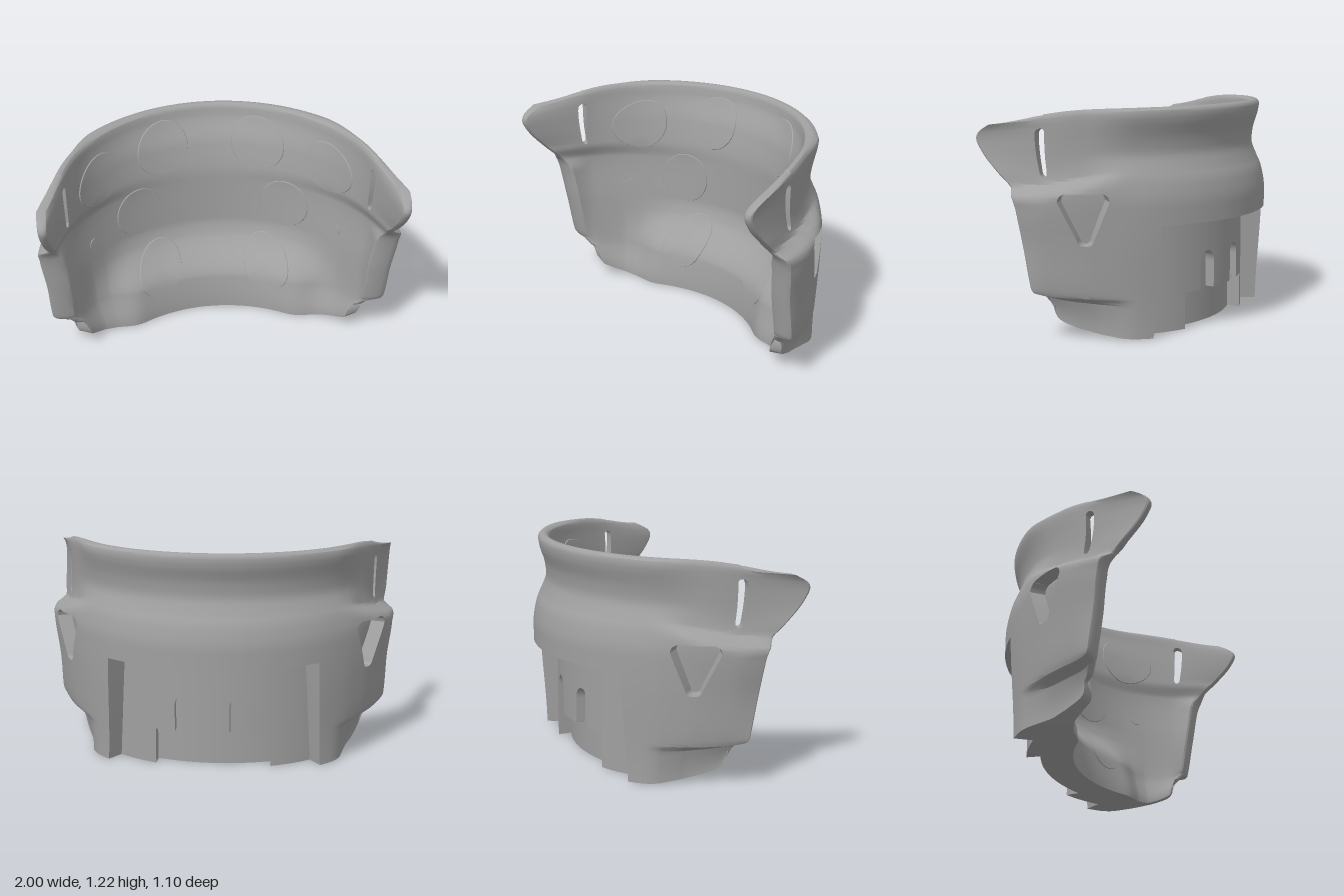
import * as THREE from 'three';
import { toCreasedNormals } from 'three/addons/utils/BufferGeometryUtils.js';

const clamp = THREE.MathUtils.clamp;
const smooth = THREE.MathUtils.smoothstep;
const mix = THREE.MathUtils.lerp;

// Smooth curve through [position, value] keys, without overshoot
function keyed(keys) {
  const d = keys.slice(1).map((k, i) => (k[1] - keys[i][1]) / (k[0] - keys[i][0]));
  const m = keys.map((k, i) => {
    if (i === 0 || i === keys.length - 1) return 0;
    const a = d[i - 1], b = d[i];
    return a * b <= 0 ? 0 : (2 * a * b) / (a + b);
  });
  return (y) => {
    if (y <= keys[0][0]) return keys[0][1];
    for (let i = 0; i < d.length; i++) {
      const [x0, v0] = keys[i], [x1, v1] = keys[i + 1];
      if (y > x1) continue;
      const h = x1 - x0, t = (y - x0) / h, t2 = t * t, t3 = t2 * t;
      return v0 * (2 * t3 - 3 * t2 + 1) + h * m[i] * (t3 - 2 * t2 + t) + v1 * (3 * t2 - 2 * t3) + h * m[i + 1] * (t3 - t2);
    }
    return keys[keys.length - 1][1];
  };
}

// Height profiles: depth at the middle, half width, and where the free ends stop
const outerZ = keyed([[0, -0.53], [0.6, -0.55], [0.7, -0.55], [0.82, -0.53], [0.9, -0.495], [0.98, -0.47], [1.05, -0.477], [1.15, -0.508], [1.2, -0.515]]);
const innerZ = keyed([[0, -0.35], [0.8, -0.35], [1, -0.385], [1.19, -0.455]]);
const backW = keyed([[0, 0.95], [0.73, 0.99], [0.85, 0.97], [0.98, 0.92], [1.1, 0.94], [1.2, 0.96]]);
const sideW = keyed([[0, 0.835], [0.18, 0.87], [0.225, 0.95], [0.5, 0.985], [0.72, 1.015], [0.75, 1], [0.81, 0.91], [0.9, 0.9], [1.2, 0.905]]);
const innerW = keyed([[0, 0.77], [0.2, 0.82], [0.5, 0.85], [0.76, 0.88], [0.85, 0.85], [1.2, 0.855]]);
const endZ = keyed([[0, 0.15], [0.1, 0.175], [0.25, 0.205], [0.5, 0.245], [0.73, 0.28], [0.8, 0.33], [0.87, 0.39], [1.02, 0.5], [1.1, 0.53], [1.15, 0.51], [1.19, 0.45]]);
const flare = keyed([[0, 0], [0.7, -0.02], [0.8, 0.03], [0.9, 0.06], [1.2, 0.075]]);
const lip = keyed([[0, 0.2], [0.2, 0.18], [0.42, 0.02], [0.5, 0]]);

// Cut-outs: centre c, half width H across, rows y0 to y1, half width share w(y)
const roundEnd = (d, r) => Math.sqrt(Math.max(0.04, 1 - clamp(1 - d / r, 0, 1) ** 2));
const arch = { c: 0.132, H: 0.048, y0: 0.2, y1: 0.41, w: (y) => roundEnd(0.41 - y, 0.06) };
const triangle = {
  c: 0.755, H: 0.0925, y0: 0.51, y1: 0.78,
  w: (y) => mix(0.25, 1, clamp((y - 0.54) / 0.2, 0, 1)) * roundEnd(y - 0.51, 0.035) * mix(0.65, 1, roundEnd(0.78 - y, 0.04)),
};
const slot = { c: 0.926, H: 0.0075, y0: 0.86, y1: 1.14, w: (y) => roundEnd(Math.min(y - 0.86, 1.14 - y), 0.025) };
const features = [arch, triangle, slot];
const inside = (f, s, y) => Math.abs(s - f.c) < f.H + 1e-6 && y > f.y0 - 1e-6 && y < f.y1 + 1e-6;
const RECESS = 0.475, RECESS_TOP = 0.6, NOTCH = 0.28, NOTCH_TOP = 0.2, TOP = 1.19, ARC = 1.3;

// Narrow the columns near a cut-out to follow its outline
function warp(s, y) {
  for (const f of features) {
    const t = (s - f.c) / f.H, a = Math.abs(t), reach = f === triangle ? 1.2 : 1.6;
    if (a >= reach) continue;
    const w = f.w(clamp(y, f.y0, f.y1));
    const r = a <= 1 ? a * w : mix(w, reach, (a - 1) / (reach - 1));
    return f.c + Math.sign(t) * r * f.H;
  }
  // Slanted sides of the back recess
  return s + mix(0.02, -0.015, clamp(y / RECESS_TOP, 0, 1)) * Math.max(0, 1 - Math.abs(s - RECESS) / 0.1);
}

// Point on the inner or outer face; s runs from -1 to 1 round the arch
function surface(isInner, sRaw, Y, plain = false) {
  const s0 = Math.abs(sRaw), s = plain ? s0 : warp(s0, Y);
  const yw = Y - 0.25 * (1 - s) * clamp((Y - 0.5) / 0.2, 0, 1);
  let zA = isInner ? innerZ(Y) : outerZ(Y);
  let W = isInner ? innerW(Y) : mix(backW(Y), sideW(yw), smooth(s, 0.55, 0.8));
  let push = 0;
  if (!isInner && s0 < RECESS + 1e-6 && Y < RECESS_TOP + 1e-6) {
    zA = -0.41;
    W = 0.86;
    if (s0 < NOTCH + 1e-6 && Y < NOTCH_TOP - 0.001) push = 0.08;
    else if (inside(arch, s0, Y)) push = 0.05;
  }
  const g = Math.max(0, (s - 0.9) / 0.1) ** 1.5;
  const x = (W * Math.sin(ARC * s)) / Math.sin(ARC) + flare(Y) * g;
  let z = zA + ((0.25 - zA) * (1 - Math.cos(ARC * s))) / (1 - Math.cos(ARC)) + (endZ(Y) - 0.25) * g + push;
  if (isInner) z += lip(Y) * (1 - smooth(x, 0.42, 0.75));
  const y = Y + 0.17 * s ** 7 * Math.max(0, 1 - Y / 0.27) - (0.015 * s * s + 0.05 * s ** 10) * Math.max(0, (Y - 0.8) / 0.39);
  const p = new THREE.Vector3(Math.sign(sRaw) * x, y, z);
  if (!isInner && inside(triangle, s0, Y)) p.lerp(surface(true, sRaw, Y), 0.6);
  return p;
}

const sorted = (list) => [...new Set(list.map((v) => +v.toFixed(4)))].sort((a, b) => a - b);

function finish(pos, crease) {
  const g = new THREE.BufferGeometry();
  g.setAttribute('position', new THREE.Float32BufferAttribute(pos, 3));
  g.scale(50, 50, 50);
  const out = toCreasedNormals(g, crease);
  out.scale(0.02, 0.02, 0.02);
  return out;
}

function shellGeometry() {
  const E = 0.002;
  const half = [RECESS, RECESS + E, NOTCH, NOTCH + E, 0.99, 1], ys = [RECESS_TOP, RECESS_TOP + E, NOTCH_TOP - E, NOTCH_TOP, TOP];
  for (let i = 0; i < 50; i++) half.push(i / 50);
  for (let i = 0; i < 59; i++) ys.push(i / 50);
  for (const f of features) {
    half.push(f.c - f.H - E, f.c - f.H, f.c, f.c + f.H, f.c + f.H + E);
    for (const d of [0, 0.004, 0.01, 0.016]) ys.push(f.y0 + d, f.y1 - d);
    ys.push(f.y0 - E, f.y1 + E);
  }
  const cols = sorted([...half, ...half.map((v) => -v)]), rows = sorted(ys);
  const n = rows.length, last = cols.length - 1, pos = [];
  const quad = (a, b, c, d) => [a, b, c, a, c, d].forEach((p) => pos.push(p.x, p.y, p.z));

  // Closed section at every column: outer face, rounded rim, inner face
  const out = cols.map((s) => rows.map((y) => surface(false, s, y)));
  const inn = cols.map((s) => rows.map((y) => surface(true, s, y)));
  const loops = cols.map((s, i) => {
    const rim = [1, 2, 3, 4, 5].map((k) => {
      const a = (Math.PI * k) / 6, p = out[i][n - 1].clone().lerp(inn[i][n - 1], (1 - Math.cos(a)) / 2);
      p.y += 0.03 * Math.sin(a) * (1 - smooth(Math.abs(s), 0.9, 1));
      return p;
    });
    return [...out[i], ...rim, ...[...inn[i]].reverse()];
  });
  const len = loops[0].length;
  const isSlot = (i, j) => i >= 0 && i < last && inside(slot, Math.abs(cols[i] + cols[i + 1]) / 2, (rows[j] + rows[j + 1]) / 2);
  for (let i = 0; i < last; i++) {
    for (let k = 0; k < len; k++) {
      const j = k < n - 1 ? k : k > len - n - 1 && k < len - 1 ? len - 2 - k : -1;
      if (j >= 0 && isSlot(i, j)) continue;
      const k2 = (k + 1) % len;
      quad(loops[i][k], loops[i][k2], loops[i + 1][k2], loops[i + 1][k]);
    }
    // Walls of the strap slots
    for (let j = 0; j < n - 1; j++) {
      if (!isSlot(i, j)) continue;
      if (!isSlot(i - 1, j)) quad(out[i][j], out[i][j + 1], inn[i][j + 1], inn[i][j]);
      if (!isSlot(i + 1, j)) quad(out[i + 1][j + 1], out[i + 1][j], inn[i + 1][j], inn[i + 1][j + 1]);
      if (!isSlot(i, j - 1)) quad(out[i + 1][j], out[i][j], inn[i][j], inn[i + 1][j]);
      if (!isSlot(i, j + 1)) quad(out[i][j + 1], out[i + 1][j + 1], inn[i + 1][j + 1], inn[i][j + 1]);
    }
  }

  // Rounded free ends, the bulge fading out at the bottom and top corners
  for (const i of [0, last]) {
    const cap = rows.map((y, j) => [0, 1, 2, 3, 4, 5, 6].map((k) => {
      const a = (Math.PI * k) / 6, p = inn[i][j].clone().lerp(out[i][j], (1 - Math.cos(a)) / 2);
      p.z += 0.02 * Math.sin(a) * smooth(Math.min(y, TOP - y), 0, 0.08);
      return p;
    }));
    for (let j = 0; j < n - 1; j++) {
      for (let k = 0; k < 6; k++) {
        const q = [cap[j][k], cap[j][k + 1], cap[j + 1][k + 1], cap[j + 1][k]];
        quad(...(i ? q : q.reverse()));
      }
    }
  }
  return finish(pos, 0.55);
}

// Thin pad following the inner face, with a small step at its edge
function padGeometry(side, cx, cy, rx, ry) {
  const pos = [], N = 48, rings = [0, 0.25, 0.5, 0.75, 1, 1.03];
  const at = (r, a, lift) => {
    const x = cx + rx * r * Math.cos(a), y = cy + ry * r * Math.sin(a);
    let lo = 0, hi = 1;
    for (let k = 0; k < 24; k++) {
      const m = (lo + hi) / 2;
      if (surface(true, m, y, true).x < x) lo = m; else hi = m;
    }
    const p = surface(true, lo, y, true);
    return [side * (p.x - lift * Math.sin(ARC * lo)), p.y, p.z + lift * Math.cos(ARC * lo)];
  };
  const grid = rings.map((r, k) => Array.from({ length: N + 1 }, (_, i) => at(r, (i / N) * Math.PI * 2, k === 5 ? -0.004 : 0.005)));
  for (let k = 0; k < 5; k++) {
    for (let i = 0; i < N; i++) {
      const a = grid[k][i], b = grid[k + 1][i], c = grid[k + 1][i + 1], d = grid[k][i + 1];
      const tris = side > 0 ? [a, b, c, a, c, d] : [a, c, b, a, d, c];
      tris.slice(0, k === 0 ? 3 : 6).forEach((p) => pos.push(...p));
    }
  }
  return finish(pos, 0.6);
}

export function createModel() {
  const model = new THREE.Group();
  const grey = new THREE.MeshStandardMaterial({ color: 0xa0a0a0, side: THREE.DoubleSide });
  grey.name = 'grey plastic';
  const add = (geometry, name) => {
    const mesh = new THREE.Mesh(geometry, grey);
    mesh.name = name;
    model.add(mesh);
  };
  add(shellGeometry(), 'curvedShell');

  // Round pads and screw seats on the inside, mirrored
  const pads = [
    [0.275, 1.005, 0.145, 0.15, 'upperInnerPad'], [0.65, 0.965, 0.11, 0.145, 'upperOuterPad'],
    [0.425, 0.645, 0.13, 0.148, 'middlePad'], [0.315, 0.285, 0.125, 0.148, 'lowerPad'],
    [0.7, 0.58, 0.02, 0.03, 'screwSeat'],
  ];
  for (const side of [1, -1]) {
    for (const [x, y, rx, ry, name] of pads) add(padGeometry(side, x, y, rx, ry), name + (side > 0 ? 'Left' : 'Right'));
  }
  return model;
}
